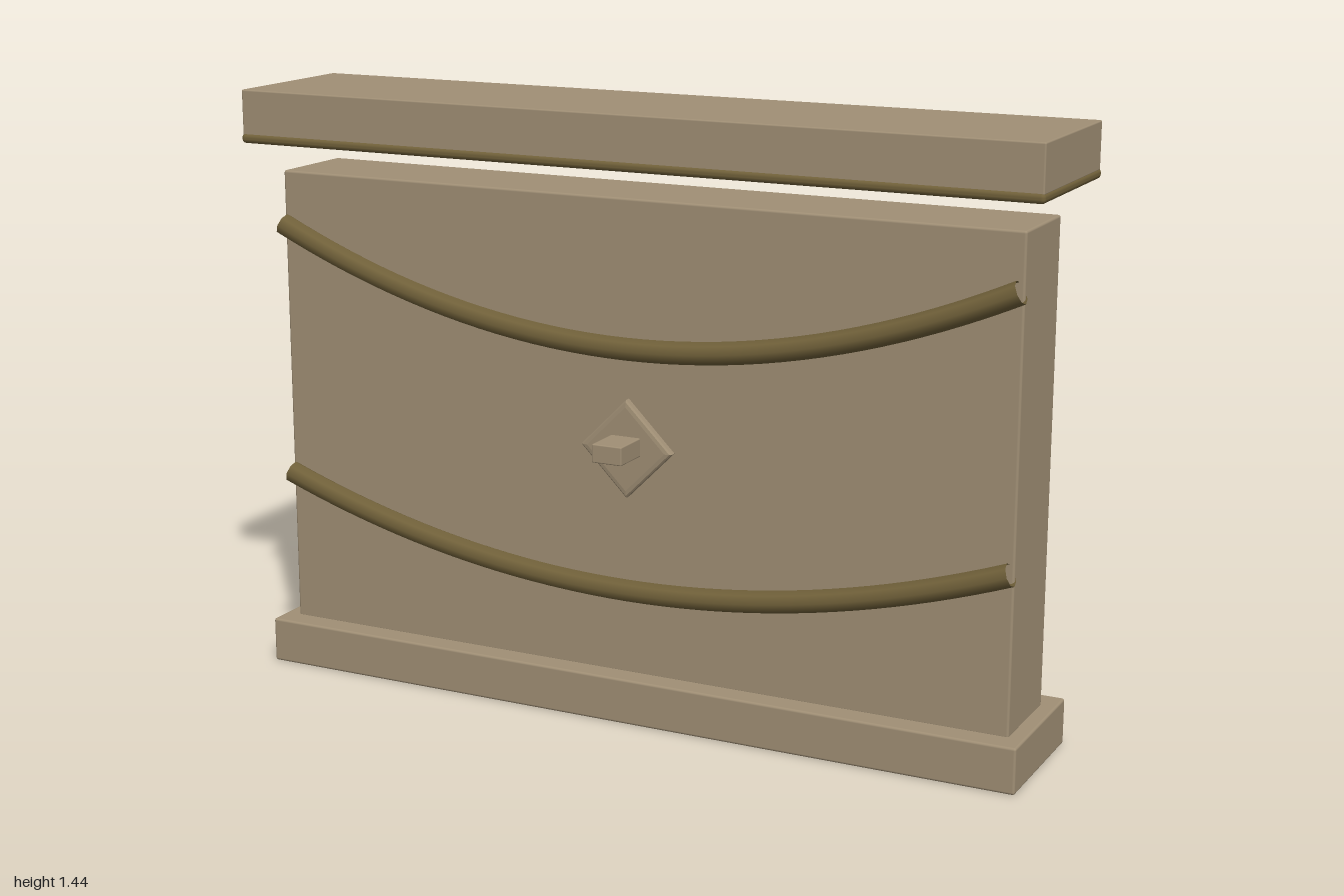
import * as THREE from 'three';
import { RoundedBoxGeometry } from 'three/addons/geometries/RoundedBoxGeometry.js';

export function createModel() {
  const group = new THREE.Group();
  const stone = new THREE.MeshStandardMaterial({ color: 0xa08f75 });
  stone.name = 'tan';
  const bronze = new THREE.MeshStandardMaterial({ color: 0x71613a, side: THREE.DoubleSide });
  bronze.name = 'dark olive';

  const add = (name, geometry, material) => {
    const mesh = new THREE.Mesh(geometry, material);
    mesh.name = name;
    group.add(mesh);
    return mesh;
  };

  // Softly edged block given by its width and its y and z limits
  const block = (name, width, y0, y1, z0, z1, radius, material = stone) => {
    const mesh = add(name, new RoundedBoxGeometry(width, y1 - y0, z1 - z0, 2, radius), material);
    mesh.position.set(0, (y0 + y1) / 2, (z0 + z1) / 2);
    return mesh;
  };

  // Plinth, panel, and the floating lid with its trim
  block('base', 1.95, 0, 0.11, -0.19, 0.16, 0.006);
  block('body', 1.876, 0.105, 1.24, -0.13, 0.102, 0.006);
  block('lid', 1.994, 1.33, 1.44, -0.21, 0.18, 0.004);
  block('lidTrim', 2, 1.312, 1.335, -0.214, 0.185, 0.01, bronze);

  // Sagging bands across the front
  const band = (name, endY, midY) => {
    const curve = new THREE.QuadraticBezierCurve3(
      new THREE.Vector3(-0.934, endY, 0.115),
      new THREE.Vector3(0, 2 * midY - endY, 0.115),
      new THREE.Vector3(0.934, endY, 0.115)
    );
    add(name, new THREE.TubeGeometry(curve, 40, 0.027, 8), bronze);
  };
  band('upperBand', 1.111, 0.894);
  band('lowerBand', 0.488, 0.315);

  // Bevelled diamond plate with a square knob
  const r = 0.1, bevel = 0.012;
  const diamond = new THREE.Shape([
    new THREE.Vector2(r, 0), new THREE.Vector2(0, r),
    new THREE.Vector2(-r, 0), new THREE.Vector2(0, -r)
  ]);
  const plate = add('diamondPlate', new THREE.ExtrudeGeometry(diamond, {
    depth: 0.016, bevelEnabled: true, bevelThickness: 0.005, bevelSize: bevel, bevelSegments: 2
  }), stone);
  plate.position.set(0, 0.658, 0.1);
  block('knob', 0.076, 0.645, 0.689, 0.1, 0.215, 0.003);

  return group;
}
